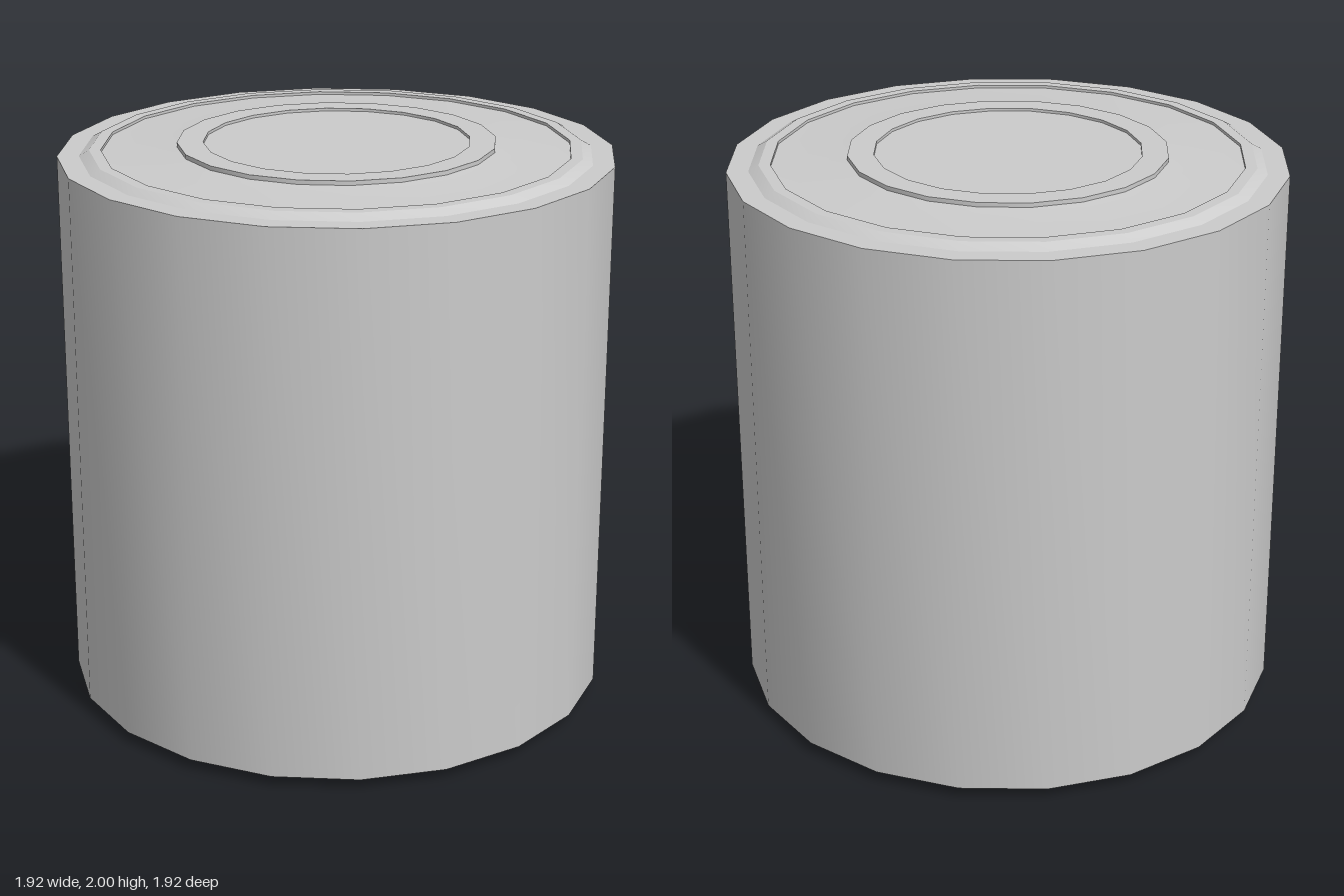
import * as THREE from 'three';
import { toCreasedNormals } from 'three/addons/utils/BufferGeometryUtils.js';

const SIDES = 20;
const material = new THREE.MeshStandardMaterial({ color: 0xcccccc });

// Spins an [radius, height] profile, listed from bottom to top, around the y axis
function turned(name, profile) {
  const points = profile.map(([r, y]) => new THREE.Vector2(r, y));
  const geometry = toCreasedNormals(new THREE.LatheGeometry(points, SIDES), 0.4);
  const mesh = new THREE.Mesh(geometry, material);
  mesh.name = name;
  return mesh;
}

export function createModel() {
  const group = new THREE.Group();
  group.name = 'cylinderCell';

  // Base: recessed centre, stepped foot ring, panel and outer groove
  group.add(turned('baseCap', [
    [0, 0.03], [0.54, 0.03], [0.54, 0], [0.59, 0], [0.59, 0.012],
    [0.64, 0.012], [0.64, 0.04], [0.78, 0.04], [0.82, 0.035],
    [0.82, 0.06], [0.87, 0.06], [0.87, 0.04], [0.96, 0.04],
  ]));

  // Straight outer wall
  group.add(turned('body', [[0.96, 0.04], [0.96, 1.96]]));

  // Top: bevelled rim, shallow panel, raised ring and recessed centre
  group.add(turned('topCap', [
    [0.96, 1.96], [0.885, 1.96], [0.85, 1.98], [0.81, 1.98], [0.81, 1.97],
    [0.62, 1.978], [0.55, 1.985], [0.55, 2], [0.46, 2], [0.46, 1.99], [0, 1.99],
  ]));

  return group;
}
